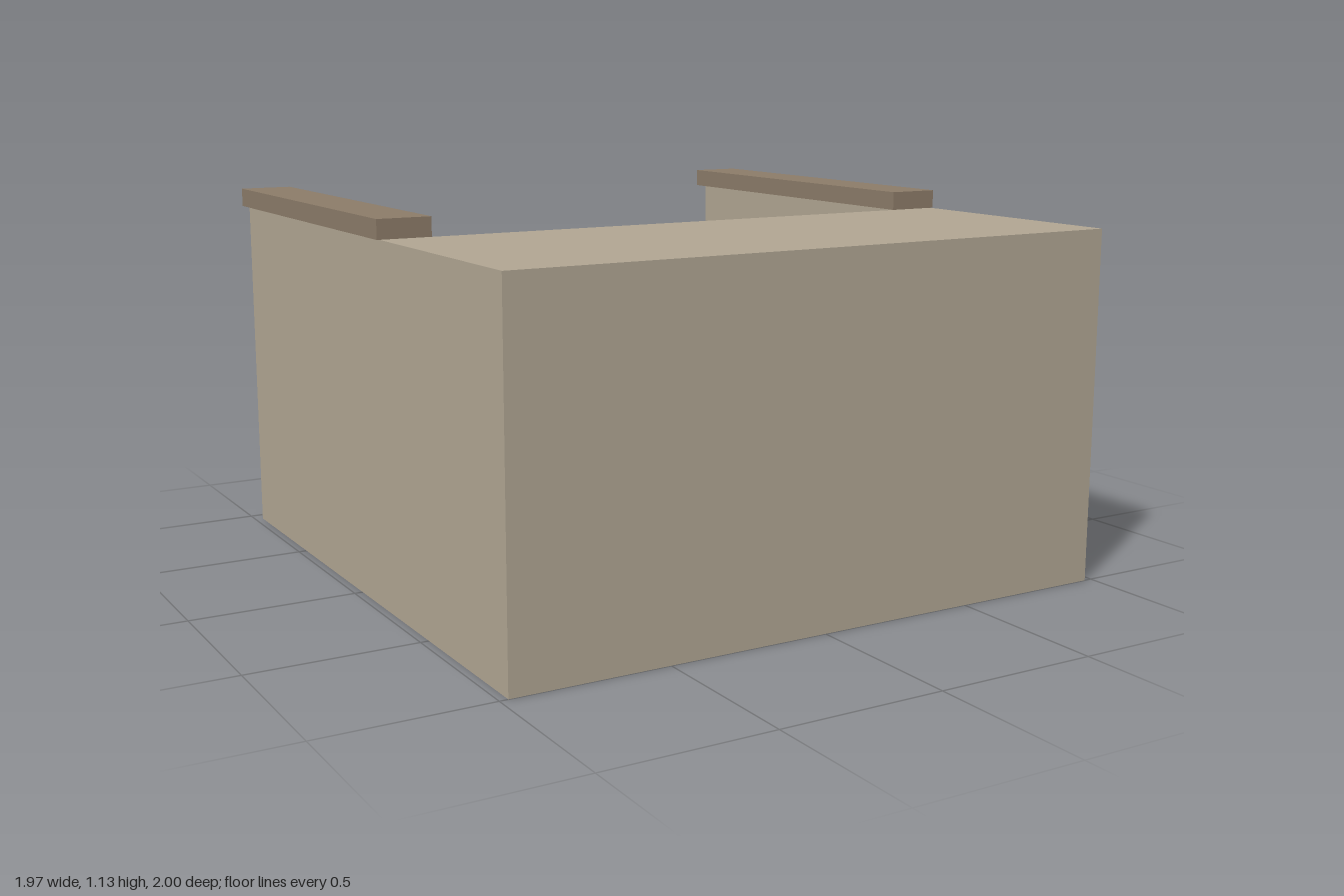
import * as THREE from 'three';

export function createModel() {
  const group = new THREE.Group();
  const stone = new THREE.MeshStandardMaterial({ name: 'sandstone', color: 0xb0a592 });
  const coping = new THREE.MeshStandardMaterial({ name: 'brown coping', color: 0x8b7b68 });

  const top = 1.077, front = 1, back = -0.95, lipBack = -1;
  const outer = 0.975, inner = 0.825;
  const stairFront = 0.217, run = 0.219, steps = 4, landing = 0.71, lip = 0.05;
  const rise = (top - landing) / steps;

  function addBox(name, material, x0, x1, y0, y1, z0, z1) {
    const mesh = new THREE.Mesh(new THREE.BoxGeometry(x1 - x0, y1 - y0, z1 - z0), material);
    mesh.name = name;
    mesh.position.set((x0 + x1) / 2, (y0 + y1) / 2, (z0 + z1) / 2);
    group.add(mesh);
  }

  // Stepped core: side profile (z, y) swept across the width
  const profile = new THREE.Shape();
  profile.moveTo(back, 0);
  profile.lineTo(front, 0);
  profile.lineTo(front, top);
  for (let i = 0; i < steps; i++) {
    const z = stairFront - i * run;
    profile.lineTo(z, top - i * rise);
    profile.lineTo(z, top - (i + 1) * rise);
  }
  // Overhanging lip of the lowest tread
  profile.lineTo(lipBack, landing);
  profile.lineTo(lipBack, landing - lip);
  profile.lineTo(back, landing - lip);
  profile.closePath();

  const coreGeometry = new THREE.ExtrudeGeometry(profile, { depth: 2 * inner, bevelEnabled: false });
  coreGeometry.translate(0, 0, -inner);
  coreGeometry.rotateY(-Math.PI / 2);
  const core = new THREE.Mesh(coreGeometry, stone);
  core.name = 'steppedCore';
  group.add(core);

  // Side walls with flat coping slabs
  for (const [side, s] of [['left', 1], ['right', -1]]) {
    const span = (a, b) => [Math.min(s * a, s * b), Math.max(s * a, s * b)];
    addBox(side + 'Wall', stone, ...span(inner, outer), 0, top, back, front);
    addBox(side + 'Coping', coping, ...span(0.818, 0.983), top, 1.135, lipBack, stairFront);
  }

  return group;
}
